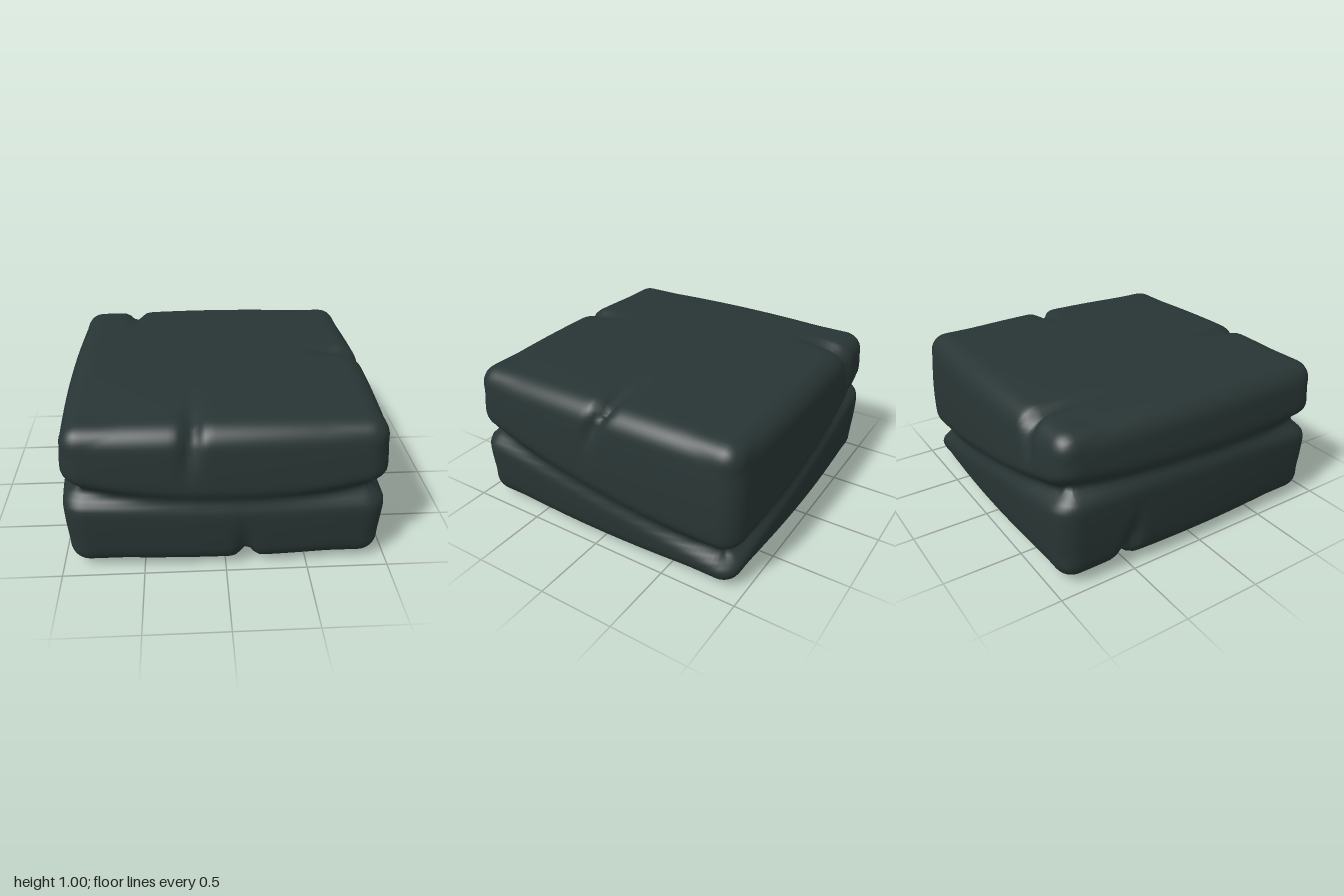
import * as THREE from 'three';
import { mergeVertices } from 'three/addons/utils/BufferGeometryUtils.js';

const HALF = new THREE.Vector3(1, 0.5, 1);
const RADIUS = 0.13;

const gauss = (d, w) => Math.exp(-(d * d) / (w * w));

// Height of the split that runs around the four sides (bilinear between corners)
function splitHeight(x, z) {
  const u = (x + 1) / 2, v = (z + 1) / 2;
  const back = THREE.MathUtils.lerp(0.64, 0.21, u);
  const front = THREE.MathUtils.lerp(0.57, 0.54, u) - 0.06 * (1 - x * x);
  return THREE.MathUtils.lerp(back, front, v) - 0.5;
}

// Short cracks crossing the rim: edge point, axis the crack cuts across, slant, depth
const CRACKS = [
  { at: [-0.2, 0.5, 0.97], axis: 'x', slant: 0.1, depth: 0.06 },
  { at: [-0.6, 0.5, -0.97], axis: 'x', slant: 0.2, depth: 0.06 },
  { at: [0.97, 0.5, -0.07], axis: 'z', slant: -0.35, depth: 0.07 },
  { at: [0.14, -0.5, 0.97], axis: 'x', slant: -0.1, depth: 0.06 },
  { at: [-0.97, -0.5, -0.57], axis: 'z', slant: 0.25, depth: 0.07 },
];

function crackDepth(p) {
  let sum = 0;
  for (const { at, axis, slant, depth } of CRACKS) {
    const across = p[axis] - (axis === 'x' ? at[0] : at[2]) - slant * (p.y - at[1]);
    const other = axis === 'x' ? p.z - at[2] : p.x - at[0];
    const along = Math.hypot(p.y - at[1], other);
    sum += depth * gauss(across, 0.05) * gauss(along, 0.24);
  }
  return sum;
}

// Rounded, gently swollen block with the split and cracks pressed in
function stoneGeometry() {
  let geo = new THREE.BoxGeometry(2, 1, 2, 64, 36, 64);
  geo.deleteAttribute('uv');
  geo.deleteAttribute('normal');
  geo.clearGroups();
  geo = mergeVertices(geo, 1e-4);

  const pos = geo.attributes.position;
  const p = new THREE.Vector3(), inner = new THREE.Vector3(), n = new THREE.Vector3();
  const limit = HALF.clone().subScalar(RADIUS);
  for (let i = 0; i < pos.count; i++) {
    p.fromBufferAttribute(pos, i);
    inner.copy(p).clamp(limit.clone().negate(), limit);
    n.copy(p).sub(inner).normalize();
    p.copy(inner).addScaledVector(n, RADIUS);

    // Side split, deepest at the corners
    const side = Math.hypot(n.x, n.z);
    const corner = Math.min(1, Math.abs(p.x * p.z)) ** 3;
    const dy = p.y - splitHeight(p.x, p.z);
    const cut = side * (0.03 + 0.09 * corner) * gauss(dy, 0.05 + 0.02 * corner) + crackDepth(p);

    // Faces swell towards their middles
    const a = (p.x / HALF.x) ** 2, b = (p.y / HALF.y) ** 2, c = (p.z / HALF.z) ** 2;
    const sx = 1 - 0.035 * Math.min(1.3, b + c);
    const sy = 1 - 0.04 * Math.min(1.3, a + c);
    const sz = 1 - 0.035 * Math.min(1.3, a + b);
    p.set(p.x * sx, p.y * sy, p.z * sz).addScaledVector(n, -cut);
    pos.setXYZ(i, p.x, p.y + 0.5, p.z);
  }
  geo.computeVertexNormals();
  return geo;
}

export function createModel() {
  const group = new THREE.Group();
  group.name = 'stoneBlock';
  const slate = new THREE.MeshStandardMaterial({ color: 0x283534 });
  slate.name = 'dark slate';
  const stone = new THREE.Mesh(stoneGeometry(), slate);
  stone.name = 'stone';
  group.add(stone);
  return group;
}
